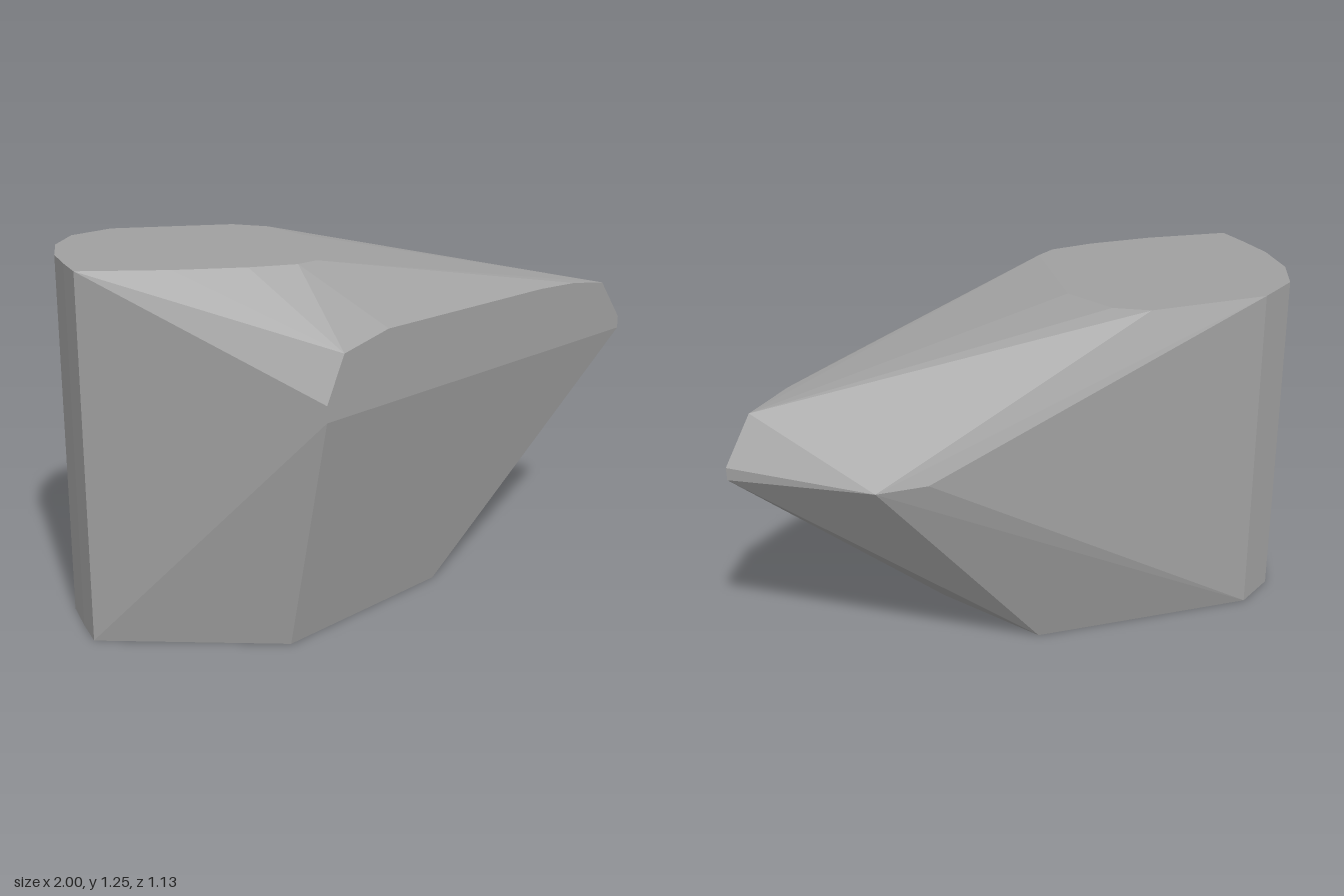
import * as THREE from 'three';
import { ConvexGeometry } from 'three/addons/geometries/ConvexGeometry.js';

export function createModel() {
  const stone = new THREE.MeshStandardMaterial({ color: 0xa0a0a0 });
  stone.name = 'stone grey';
  stone.flatShading = true;

  const points = [];
  const add = (x, y, z) => points.push(new THREE.Vector3(x, y, z));
  const top = 1.25, front = 0.565;

  // upright rounded back, shared by the base and the flat top
  const back = [[-0.5, -0.565], [-0.67, -0.565], [-0.8, -0.475], [-0.9, -0.34], [-0.955, -0.215], [-1, -0.1]];
  for (const [x, z] of back) {
    add(x, 0, z);
    add(x, top, z);
  }

  // remaining rim of the flat top
  for (const [x, z] of [[-0.78, 0.1], [-0.59, 0.24], [-0.45, 0.317], [-0.37, 0.32], [-0.11, 0], [-0.09, -0.2], [-0.15, -0.32]])
    add(x, top, z);

  // front and right corners of the base
  for (const [x, z] of [[-0.56, 0.385], [0.16, 0.385], [0.16, -0.07]]) add(x, 0, z);

  // upright front facet
  for (const [x, y] of [[-0.575, 0.815], [-0.575, 0.87], [-0.5, 1.02], [-0.3, 1.06], [0.5, 1.05], [0.7, 1.038], [0.88, 1.01], [1, 0.86], [1, 0.815]])
    add(x, y, front);

  // right shoulder
  add(0.785, 0.815, 0.11);
  add(0.64, 0.815, 0.01);

  const rock = new THREE.Mesh(new ConvexGeometry(points), stone);
  rock.name = 'rock';
  const group = new THREE.Group();
  group.name = 'boulder';
  group.add(rock);
  return group;
}
